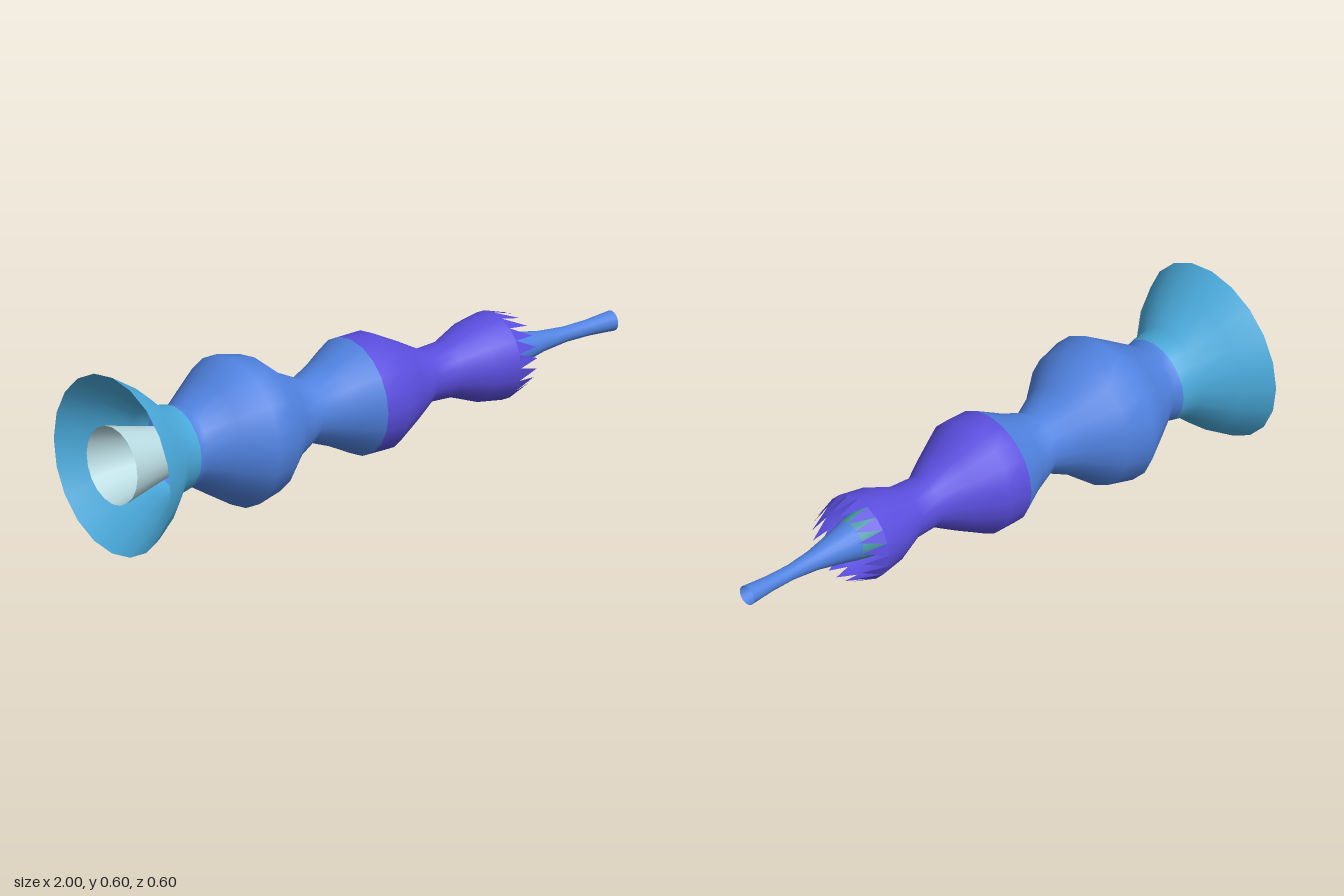
import * as THREE from 'three';

const SIDES = 20;

function paint(name, color) {
  const m = new THREE.MeshStandardMaterial({ color, side: THREE.DoubleSide });
  m.name = name;
  return m;
}

// Open shell turned about the x axis from [x, radius] pairs
function shell(name, profile, material) {
  const pts = profile.map(([x, r]) => new THREE.Vector2(r, x));
  const geo = new THREE.LatheGeometry(pts, SIDES);
  geo.rotateZ(-Math.PI / 2);
  const mesh = new THREE.Mesh(geo, material);
  mesh.name = name;
  return mesh;
}

// Ring of slanted pointed teeth closing in from the rim
function teeth(name, x0, r0, x1, r1, skew, material) {
  const pos = [];
  const at = (x, r, i) => {
    const a = (i / SIDES) * Math.PI * 2;
    pos.push(x, r * Math.cos(a), r * Math.sin(a));
  };
  for (let i = 0; i < SIDES; i++) {
    at(x0, r0, i);
    at(x1, r1, i + skew);
    at(x0, r0, i + 1);
  }
  const geo = new THREE.BufferGeometry();
  geo.setAttribute('position', new THREE.Float32BufferAttribute(pos, 3));
  // Wind outward
  for (let i = 0; i < pos.length; i += 9) {
    const p = geo.attributes.position;
    const k = i / 3;
    const [a, b, c] = [0, 1, 2].map((j) => new THREE.Vector3().fromBufferAttribute(p, k + j));
    const n = b.clone().sub(a).cross(c.clone().sub(a));
    if (n.y * a.y + n.z * a.z < 0) {
      p.setXYZ(k + 1, c.x, c.y, c.z);
      p.setXYZ(k + 2, b.x, b.y, b.z);
    }
  }
  geo.computeVertexNormals();
  const mesh = new THREE.Mesh(geo, material);
  mesh.name = name;
  return mesh;
}

export function createModel() {
  const sky = paint('sky blue', 0x4aaadb);
  const blue = paint('blue', 0x5082e0);
  const violet = paint('violet', 0x5a4ede);
  const teal = paint('teal', 0x4c9ca8);
  const silver = paint('pale silver', 0xb6d8de);

  const model = new THREE.Group();
  model.name = 'flaredHorn';

  // Outer skin in three colours
  model.add(shell('bell', [[-1, 0.298], [-0.905, 0.238], [-0.81, 0.152], [-0.75, 0.139]], sky));
  model.add(shell('bulb', [
    [-0.75, 0.139], [-0.714, 0.131], [-0.62, 0.19], [-0.524, 0.249], [-0.43, 0.227],
    [-0.335, 0.151], [-0.238, 0.104], [-0.143, 0.142], [-0.045, 0.193],
  ], blue));
  model.add(shell('waist', [
    [-0.045, 0.193], [0.04, 0.194], [0.14, 0.142], [0.238, 0.087], [0.333, 0.092],
    [0.43, 0.13], [0.524, 0.145],
  ], violet));
  model.add(teeth('rimTeeth', 0.524, 0.145, 0.61, 0.118, 0.85, violet));

  // Inner tube running from the bell mouth to the tail
  model.add(shell('innerFunnel', [
    [-1, 0.13], [-0.9, 0.105], [-0.8, 0.082], [-0.65, 0.07], [-0.2, 0.07], [0.1, 0.085],
  ], silver));
  model.add(shell('innerCollar', [
    [0.1, 0.085], [0.24, 0.087], [0.38, 0.086], [0.5, 0.077], [0.56, 0.066],
  ], teal));
  model.add(shell('tail', [
    [0.56, 0.066], [0.62, 0.052], [0.714, 0.034], [0.81, 0.025], [0.905, 0.026], [1, 0.033],
  ], blue));

  for (const part of model.children) part.position.y = 0.298;
  return model;
}
